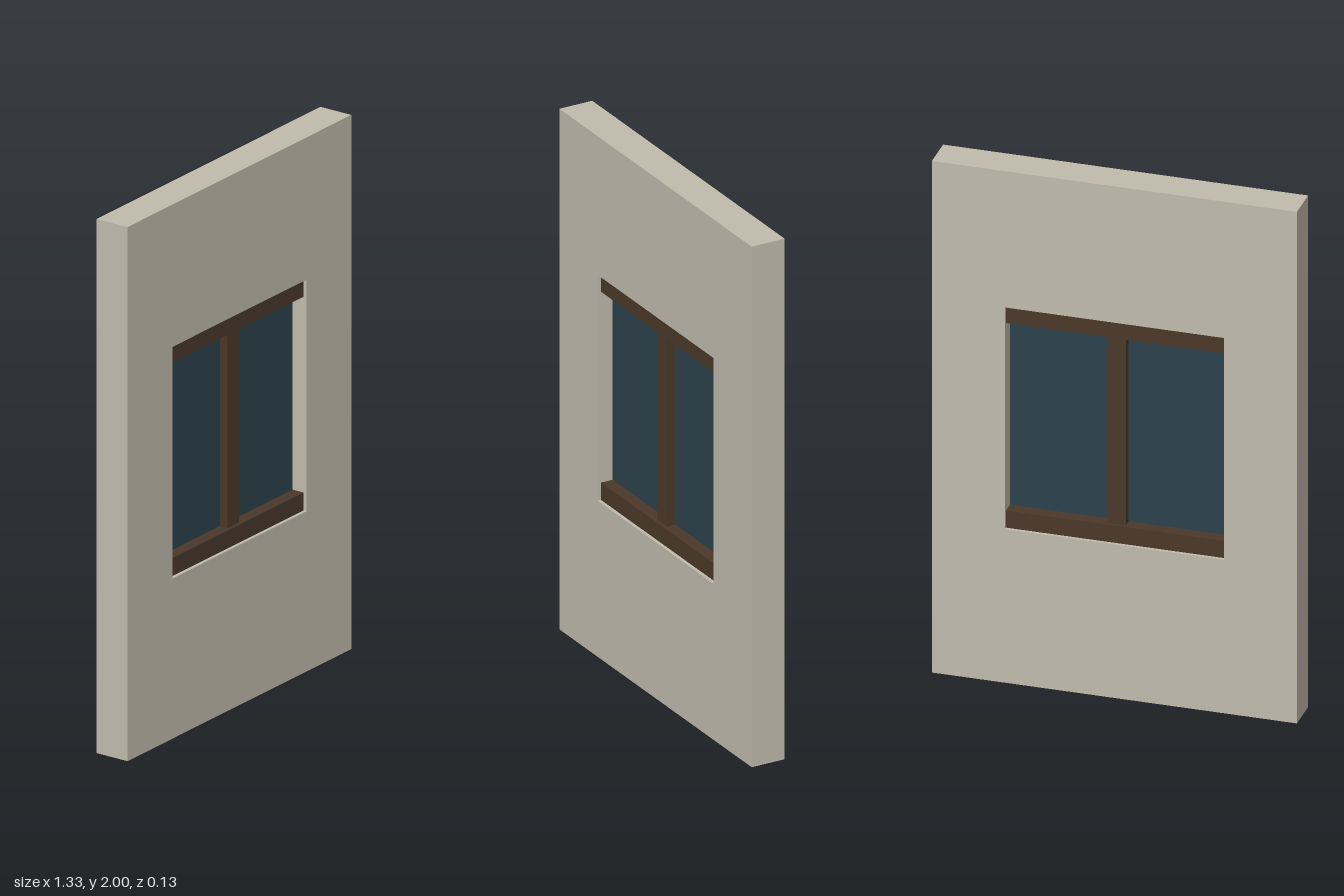
import * as THREE from 'three';

const material = (name, color) => {
  const m = new THREE.MeshStandardMaterial({ color });
  m.name = name;
  return m;
};

// Rectangle outline, usable as a shape or a hole
const rect = (path, x0, y0, x1, y1) =>
  path.moveTo(x0, y0).lineTo(x1, y0).lineTo(x1, y1).lineTo(x0, y1).closePath();

export function createModel() {
  const plaster = material('plaster', 0xc1bbad);
  const wood = material('darkWood', 0x4b3829);
  const glass = material('glass', 0x2c424c);

  const group = new THREE.Group();
  group.name = 'windowWall';

  const depth = 0.133;
  const halfOpening = 0.4, sillY = 0.6, headY = 1.467, barHeight = 0.067;

  const box = (name, w, h, d, y, mat) => {
    const mesh = new THREE.Mesh(new THREE.BoxGeometry(w, h, d), mat);
    mesh.name = name;
    mesh.position.y = y;
    group.add(mesh);
  };

  // Wall slab with a rectangular opening
  const outline = new THREE.Shape();
  rect(outline, -0.667, 0, 0.667, 2);
  const opening = new THREE.Path();
  rect(opening, -halfOpening, sillY, halfOpening, headY);
  outline.holes.push(opening);
  const wallGeometry = new THREE.ExtrudeGeometry(outline, { depth, bevelEnabled: false });
  wallGeometry.translate(0, 0, -depth / 2);
  const wall = new THREE.Mesh(wallGeometry, plaster);
  wall.name = 'wall';
  group.add(wall);

  // Horizontal bars, set just behind the wall faces
  const barDepth = 0.107;
  box('bottomRail', halfOpening * 2, barHeight, barDepth, sillY + barHeight / 2, wood);
  box('topRail', halfOpening * 2, barHeight, barDepth, headY - barHeight / 2, wood);

  // Pane and central post between the bars
  const paneHeight = headY - sillY - barHeight * 2;
  const middleY = (headY + sillY) / 2;
  box('mullion', 0.067, paneHeight, 0.08, middleY, wood);
  box('pane', halfOpening * 2, paneHeight, 0.013, middleY, glass);

  return group;
}
